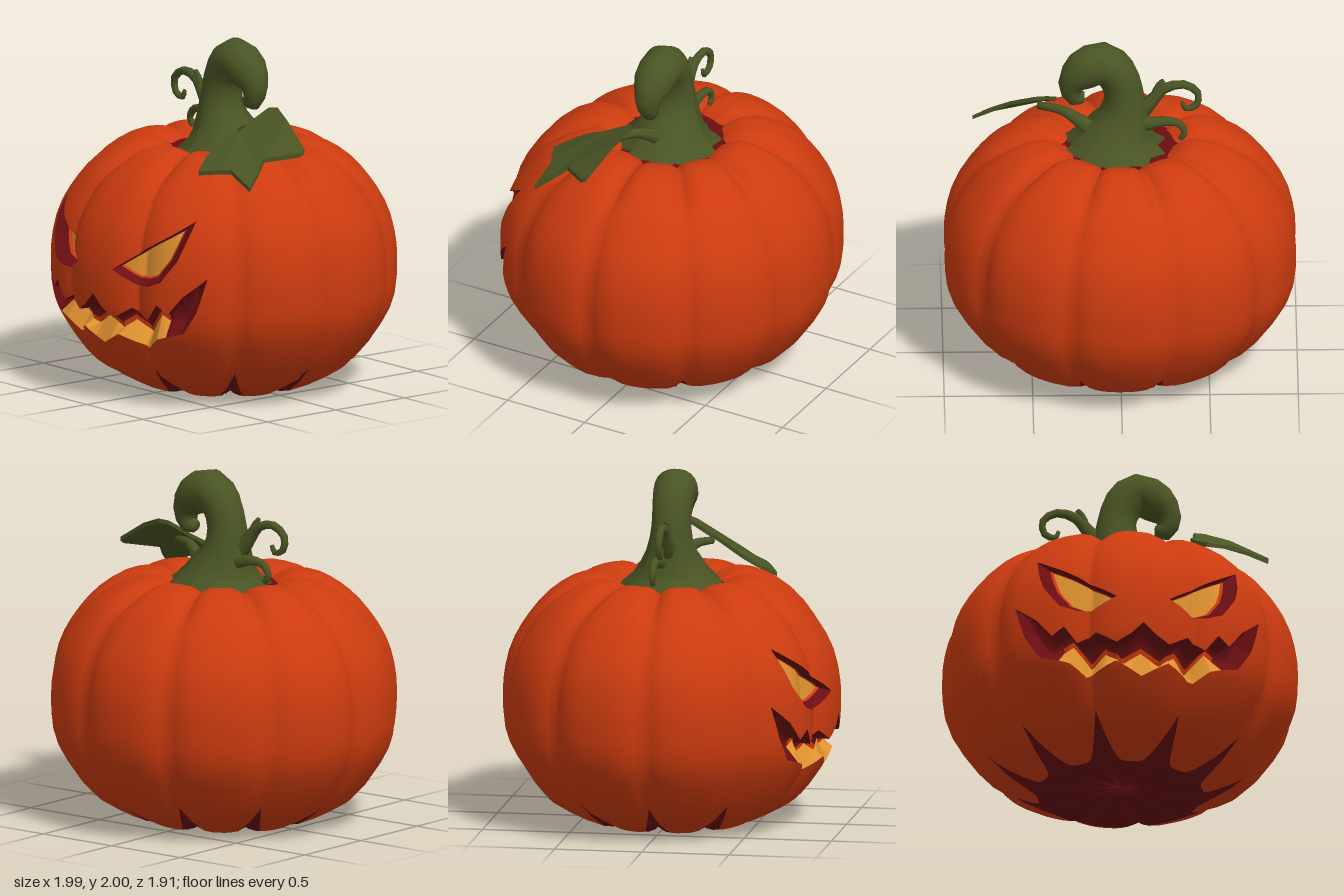
import * as THREE from 'three';
import { mergeGeometries, mergeVertices } from 'three/addons/utils/BufferGeometryUtils.js';

const mat = (name, color) => {
  const m = new THREE.MeshStandardMaterial({ color, side: THREE.DoubleSide });
  m.name = name;
  return m;
};

// Surface from columns of points, columns running rightwards and rows upwards
function grid(cols, normals) {
  const n = cols[0].length, pos = [], idx = [];
  cols.forEach((c, i) => c.forEach((p, j) => {
    pos.push(p.x, p.y, p.z);
    if (i && j) {
      const d = i * n + j, a = d - n - 1;
      idx.push(a, d - 1, d, a, d, a + 1);
    }
  }));
  let g = new THREE.BufferGeometry();
  g.setAttribute('position', new THREE.Float32BufferAttribute(pos, 3));
  g.setIndex(idx);
  if (normals) {
    g.setAttribute('normal', new THREE.Float32BufferAttribute(normals, 3));
  } else {
    g = mergeVertices(g, 1e-5);
    g.computeVertexNormals();
  }
  return g;
}

// Pumpkin profile (radius, height) from the bottom centre to the stem hollow
const profile = new THREE.SplineCurve([
  [0, 0.05], [0.3, 0.015], [0.45, 0.005], [0.61, 0.07], [0.77, 0.17], [0.92, 0.37], [0.985, 0.52], [1, 0.7],
  [0.99, 0.85], [0.95, 1.0], [0.87, 1.14], [0.75, 1.28], [0.6, 1.38], [0.46, 1.415], [0.37, 1.4], [0.3, 1.36],
].map(p => new THREE.Vector2(...p)));

// Seam strength: 1 in the groove between two of the ten lobes
const seam = phi => (1 - Math.abs(Math.cos(5 * phi))) ** 2;

function skin(phi, t, pull = 1) {
  const p = profile.getPoint(THREE.MathUtils.clamp(t, 0, 1)), q = seam(phi);
  const top = THREE.MathUtils.smoothstep(p.y, 1.2, 1.4);
  const r = p.x * (1 - (0.055 + 0.03 * top) * q) * pull;
  const low = 1 - THREE.MathUtils.smoothstep(p.y, 0, 0.2);
  return new THREE.Vector3(1.01 * r * Math.sin(phi), p.y - 0.05 * q * top + 0.03 * q * low, 0.957 * r * Math.cos(phi));
}

function skinNormal(phi, t) {
  const e = 0.01, f = 0.004;
  const u = skin(phi + e, t).sub(skin(phi - e, t));
  const v = skin(phi, t + f).sub(skin(phi, t - f));
  const n = u.cross(v);
  return n.lengthSq() < 1e-14 ? n.set(0, -1, 0) : n.normalize();
}

function tOf(y) {
  let a = 2.2 / 15, b = 12.8 / 15;
  for (let i = 0; i < 30; i++) {
    const m = (a + b) / 2;
    if (profile.getPoint(m).y < y) a = m; else b = m;
  }
  return a;
}

// Carved outlines as (x, y) corners, turned into (angle, y)
const outline = pts => pts.map(([x, y]) => [Math.asin(x / profile.getPoint(tOf(y)).x), y]);
function at(line, phi) {
  const p = Math.abs(phi);
  if (p <= line[0][0]) return line[0][1];
  for (let i = 1; i < line.length; i++) {
    const [p0, y0] = line[i - 1], [p1, y1] = line[i];
    if (p <= p1) return y0 + (y1 - y0) * (p - p0) / (p1 - p0);
  }
  return line[line.length - 1][1];
}
const eyeHi = outline([[0.15, 0.8], [0.35, 0.94], [0.56, 1.11]]);
const eyeLo = outline([[0.15, 0.8], [0.3, 0.725], [0.38, 0.727], [0.46, 0.76], [0.54, 0.89], [0.56, 1.11]]);
const mouthHi = outline([[0, 0.64], [0.07, 0.57], [0.15, 0.52], [0.27, 0.59], [0.37, 0.53], [0.44, 0.63],
  [0.5, 0.58], [0.58, 0.69], [0.69, 0.8]]);
const mouthLo = outline([[0, 0.345], [0.15, 0.42], [0.31, 0.35], [0.4, 0.42], [0.46, 0.44], [0.56, 0.47],
  [0.64, 0.6], [0.69, 0.8]]);
const lipTop = outline([[0, 0.5], [0.12, 0.435], [0.22, 0.5], [0.31, 0.43], [0.42, 0.55], [0.47, 0.52],
  [0.56, 0.53], [0.64, 0.65], [0.69, 0.8]]);

// Column angles: every three degrees plus all carved corners
const angles = [];
for (let i = -60; i <= 60; i++) angles.push(i * Math.PI / 60);
for (const l of [eyeHi, eyeLo, mouthHi, mouthLo, lipTop]) for (const [p] of l) angles.push(p, -p);
angles.sort((a, b) => a - b);
const columns = angles.filter((a, i) => !i || a - angles[i - 1] > 1e-4);

function band(from, to, rows) {
  const normals = [];
  const cols = columns.map(phi => Array.from({ length: rows + 1 }, (_, j) => {
    const t = THREE.MathUtils.lerp(from(phi), to(phi), j / rows);
    normals.push(...skinNormal(phi, t).toArray());
    return skin(phi, t);
  }));
  return grid(cols, normals);
}

// Swept tube along [x, y, z, radius] points, with optional ribs near the base
function sweep(pts, segs, sides, ribs = 0, ribbedLength = 0.5) {
  const curve = new THREE.CatmullRomCurve3(pts.map(p => new THREE.Vector3(p[0], p[1], p[2])));
  const radii = new THREE.SplineCurve(pts.map((p, i) => new THREE.Vector2(i, p[3])));
  const cols = [];
  for (let s = 0; s <= sides; s++) {
    const a = s / sides * Math.PI * 2, col = [];
    for (let j = 0; j <= segs; j++) {
      const u = j / segs, T = curve.getTangent(u);
      const N = new THREE.Vector3(T.y, -T.x, 0).normalize(), B = N.clone().cross(T);
      const r = radii.getPoint(u).y * (1 + ribs * Math.max(0, 1 - u / ribbedLength) * Math.cos(s * Math.PI));
      col.push(curve.getPoint(u).addScaledVector(N, r * Math.sin(a)).addScaledVector(B, r * Math.cos(a)));
    }
    col.push(curve.getPoint(1));
    cols.push(col);
  }
  return grid(cols);
}

export function createModel() {
  const model = new THREE.Group();
  const orange = mat('pumpkin orange', 0xcc3b0f), dark = mat('dark red flesh', 0x6a0e12);
  const glow = mat('glowing yellow', 0xe0912f), green = mat('stem green', 0x4a5524);
  const add = (name, geo, m) => {
    const mesh = new THREE.Mesh(geo, m);
    mesh.name = name;
    model.add(mesh);
    return mesh;
  };

  // Body skin with openings for eyes and mouth, and a star-shaped underside
  const bottom = phi => (2.1 + 2.1 * seam(phi)) / 15;
  const edge = line => phi => tOf(at(line, phi));
  add('body', mergeGeometries([
    band(bottom, edge(mouthLo), 10),
    band(edge(mouthHi), edge(eyeLo), 4),
    band(edge(eyeHi), phi => 1 - 0.06 * seam(phi), 12),
  ]), orange);
  add('underside', band(() => 0, bottom, 5), dark);
  const hollow = new THREE.CircleGeometry(0.37, 30);
  hollow.rotateX(-Math.PI / 2).translate(0, 1.335, 0);
  add('stemHollow', hollow, dark);

  // Eyes: dark cut wall, thin orange rim and a glowing floor
  const centre = [0.225, 0.86];
  for (const side of [1, -1]) {
    const label = side > 0 ? 'left' : 'right';
    const inside = columns.filter(p => p * side >= eyeHi[0][0] - 1e-6 && p * side <= eyeHi[2][0] + 1e-6);
    const rim = (phi, line) => skin(phi, tOf(at(line, phi)));
    const inner = (phi, line) => skin(side * (centre[0] + (Math.abs(phi) - centre[0]) * 0.8),
      tOf(centre[1] + (at(line, phi) - centre[1]) * 0.72), 0.91);
    const wall = (line, a, b) => grid(inside.map(p =>
      [a, b].map(k => rim(p, line).lerp(inner(p, line), k))));
    add(label + 'EyeWall', mergeGeometries([wall(eyeLo, 0, 0.8), wall(eyeHi, 0, 0.8)]), dark);
    add(label + 'EyeRim', mergeGeometries([wall(eyeLo, 0.8, 1), wall(eyeHi, 0.8, 1)]), orange);
    add(label + 'EyeGlow', grid(inside.map(p => [inner(p, eyeLo), inner(p, eyeHi)])), glow);
  }

  // Mouth: slanted lower lip, orange inner edge and dark back
  const end = mouthHi[mouthHi.length - 1][0], lipEnd = mouthLo[4][0];
  const mouthCols = columns.filter(p => Math.abs(p) <= end + 1e-6);
  const lipCols = mouthCols.filter(p => Math.abs(p) <= lipEnd + 1e-6);
  const mouthPoints = phi => {
    const lo = at(mouthLo, phi), hi = at(mouthHi, phi);
    const y1 = Math.min(hi, Math.max(lo, at(lipTop, phi))), y2 = Math.min(hi, y1 + 0.03);
    const pull = 1 - 0.12 * Math.min(1, (hi - lo) / 0.15);
    return [[lo, 1], [y1, pull], [y2, pull], [hi, pull], [hi, 1]].map(([y, k]) => skin(phi, tOf(y), k));
  };
  const strip = (cols, a, b) => grid(cols.map(p => mouthPoints(p).slice(a, b + 1)));
  const corners = [mouthCols.filter(p => p >= lipEnd - 1e-6), mouthCols.filter(p => p <= -lipEnd + 1e-6)];
  add('lowerLip', strip(lipCols, 0, 1), glow);
  add('lipEdge', strip(lipCols, 1, 2), orange);
  add('mouthBack', mergeGeometries([strip(mouthCols, 2, 4), ...corners.map(c => strip(c, 0, 2))]), dark);

  // Hooked stem
  add('stem', sweep([
    [0.02, 1.32, 0, 0.29], [0.01, 1.42, 0, 0.2], [-0.02, 1.55, 0, 0.135], [-0.02, 1.69, 0, 0.11],
    [0.02, 1.81, 0, 0.115], [0.1, 1.88, 0, 0.12], [0.21, 1.83, 0, 0.115], [0.275, 1.74, 0, 0.075],
    [0.25, 1.66, 0, 0.055], [0.2, 1.66, 0, 0.03],
  ], 18, 20, 0.13, 0.45), green);

  // Curling tendrils
  add('upperTendril', sweep([
    [-0.08, 1.52, 0, 0.06], [-0.18, 1.63, 0, 0.04], [-0.25, 1.71, 0, 0.03], [-0.36, 1.735, 0, 0.024],
    [-0.44, 1.68, 0, 0.022], [-0.43, 1.6, 0, 0.02], [-0.37, 1.58, 0, 0.018], [-0.35, 1.62, 0, 0.012],
  ], 14, 6), green);
  add('tendrilBud', sweep([[-0.2, 1.66, 0, 0.025], [-0.21, 1.71, 0.01, 0.02], [-0.245, 1.755, 0.01, 0.015]], 3, 5), green);
  add('lowerTendril', sweep([
    [-0.14, 1.5, -0.04, 0.04], [-0.25, 1.525, -0.05, 0.028], [-0.33, 1.51, -0.05, 0.022],
    [-0.365, 1.455, -0.05, 0.02], [-0.34, 1.41, -0.05, 0.016],
  ], 9, 6), green);
  add('leafStalk', sweep([
    [0.12, 1.42, 0, 0.06], [0.22, 1.48, 0.03, 0.04], [0.32, 1.525, 0.08, 0.028], [0.46, 1.52, 0.15, 0.022],
  ], 8, 6), green);

  // Drooping lobed leaf
  const leafShape = new THREE.Shape([
    [0.4, 0.12], [0.42, 0.02], [0.48, 0], [0.62, 0.04], [0.83, 0.09], [0.83, 0.12], [0.7, 0.28],
    [0.74, 0.35], [0.78, 0.45], [0.6, 0.44], [0.55, 0.47], [0.42, 0.53], [0.36, 0.42], [0.355, 0.34], [0.4, 0.2],
  ].map(([x, z]) => new THREE.Vector2(x, -z)));
  const leaf = new THREE.ExtrudeGeometry(leafShape, { depth: 0.025, bevelEnabled: false });
  leaf.rotateX(-Math.PI / 2);
  const lp = leaf.attributes.position;
  for (let i = 0; i < lp.count; i++) {
    const x = lp.getX(i), z = lp.getZ(i);
    lp.setY(i, lp.getY(i) + 1.64 - 0.58 * z - 0.65 * Math.max(0, x - 0.4) ** 2);
  }
  leaf.computeVertexNormals();
  add('leaf', leaf, green);

  return model;
}
